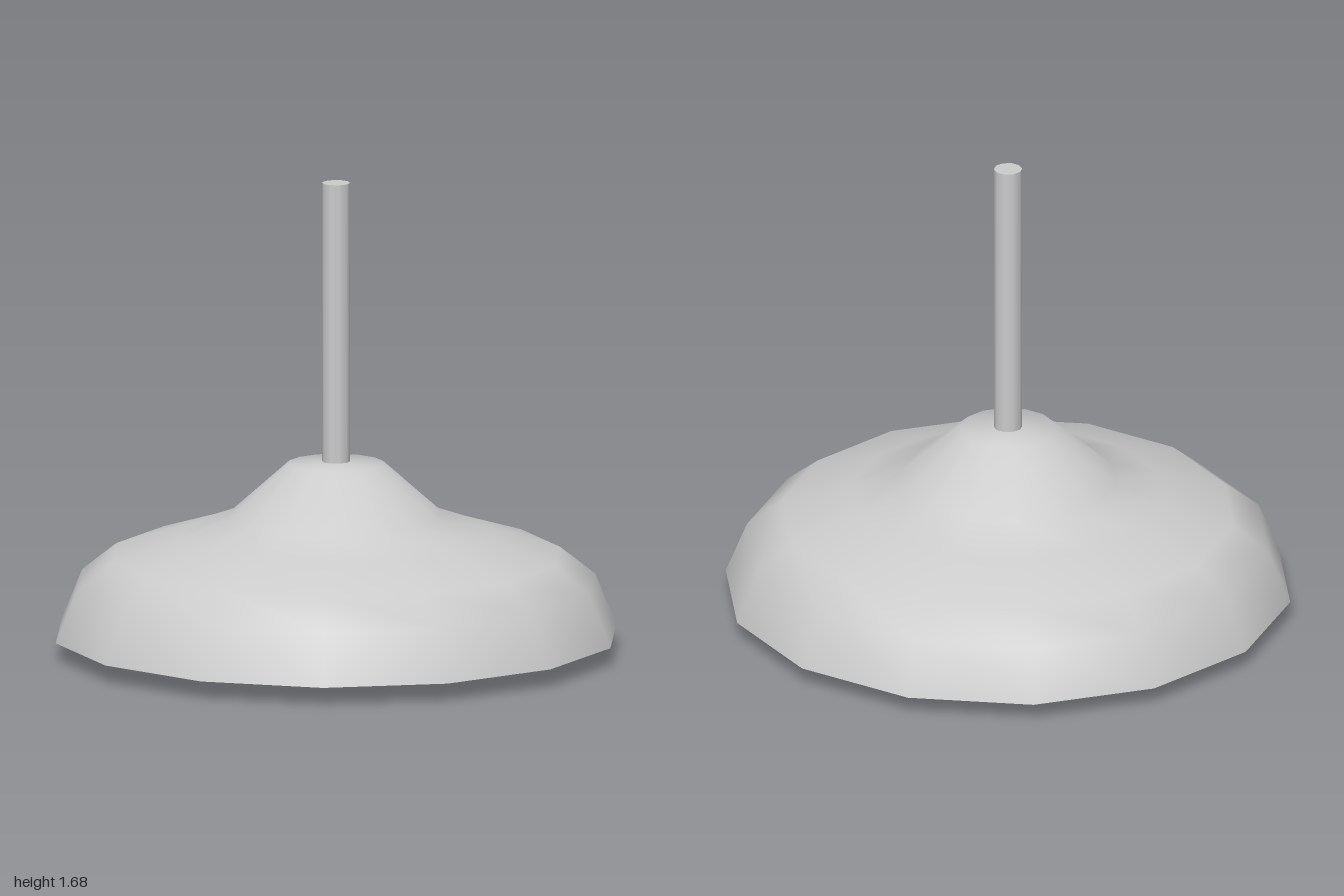
import * as THREE from 'three';

const material = new THREE.MeshStandardMaterial({ color: 0xcccccc });

// Surface of revolution whose first corner lies on the x axis; profiles run bottom to top for outward faces
function lathe(name, profile, sides) {
  const points = profile.map(([r, y]) => new THREE.Vector2(r, y));
  const mesh = new THREE.Mesh(new THREE.LatheGeometry(points, sides, Math.PI / 2), material);
  mesh.name = name;
  return mesh;
}

export function createModel() {
  const model = new THREE.Group();
  model.name = 'pendantLamp';

  // Thin bell shade: outer skin, inner skin and the rim joining them
  const outer = [[1, 0.067], [0.925, 0.25], [0.8, 0.35], [0.56, 0.425], [0.38, 0.49], [0.17, 0.678], [0, 0.687]];
  const inner = [[0, 0.667], [0.16, 0.658], [0.37, 0.472], [0.555, 0.406], [0.79, 0.332], [0.907, 0.24], [0.98, 0.067]];
  const shade = new THREE.Group();
  shade.name = 'shade';
  shade.add(
    lathe('shadeOuter', outer, 14),
    lathe('shadeInner', inner, 14),
    lathe('shadeRim', [[0.98, 0.067], [1, 0.067]], 14)
  );
  model.add(shade);

  // Hanging rod
  const rod = new THREE.Mesh(new THREE.CylinderGeometry(0.05, 0.05, 1, 10), material);
  rod.name = 'rod';
  rod.rotation.y = Math.PI / 2;
  rod.position.y = 1.18;
  model.add(rod);

  // Light bulb: round globe tapering into a narrow neck
  const profile = [];
  const radius = 0.162;
  for (let i = 0; i <= 9; i++) {
    const a = (i / 9) * Math.PI * 0.72;
    profile.push([radius * Math.sin(a), radius * (1 - Math.cos(a)) + 0.002]);
  }
  profile.push([0.085, 0.32], [0.062, 0.37], [0.045, 0.42], [0.03, 0.45], [0, 0.46]);
  model.add(lathe('bulb', profile, 18));

  return model;
}
